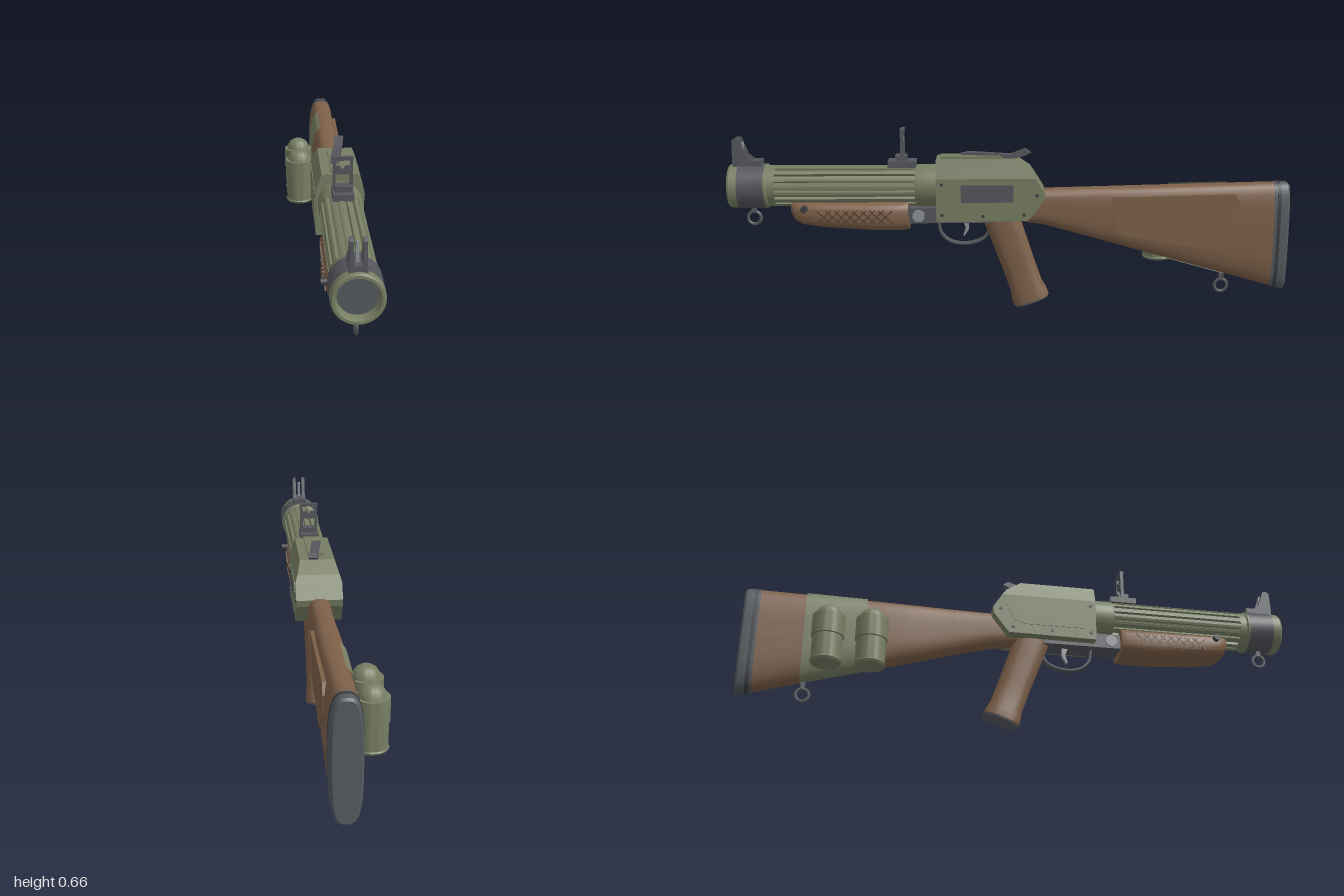
import * as THREE from 'three';
import { toCreasedNormals } from 'three/addons/utils/BufferGeometryUtils.js';

const material = (name, color, side = THREE.FrontSide) => {
  const m = new THREE.MeshStandardMaterial({ color, side });
  m.name = name;
  return m;
};

export function createModel() {
  const green = material('olive green', 0x777e63, THREE.DoubleSide);
  const wood = material('brown wood', 0x7d6049);
  const darkWood = material('dark wood', 0x553f2e);
  const metal = material('gunmetal', 0x54565b);
  const dark = material('dark steel', 0x3c3e42);
  const rubber = material('butt grey', 0x565b5f);
  const silver = material('silver', 0x8f9296);

  const model = new THREE.Group();
  const gun = new THREE.Group();
  gun.name = 'launcher';
  gun.position.x = 0.0375;
  model.add(gun);

  const add = (name, geometry, mat, x = 0, y = 0, z = 0) => {
    const mesh = new THREE.Mesh(geometry, mat);
    mesh.name = name;
    mesh.position.set(x, y, z);
    gun.add(mesh);
    return mesh;
  };
  const box = (name, mat, w, h, d, x, y, z) => add(name, new THREE.BoxGeometry(w, h, d), mat, x, y, z);

  // Side outline given as [z, y] points, spanning x0 to x1
  const sideGeometry = (points, x0, x1) => {
    const shape = new THREE.Shape(points.map(p => new THREE.Vector2(...p)));
    return new THREE.ExtrudeGeometry(shape, { depth: x1 - x0, bevelEnabled: false })
      .rotateY(-Math.PI / 2).translate(x1, 0, 0);
  };
  // Turned part; profile is [radius, position along axis]
  const turned = (profile, segments = 40) => toCreasedNormals(
    new THREE.LatheGeometry(profile.map(p => new THREE.Vector2(...p)), segments), 0.5);
  const turnedZ = (name, mat, profile, y = 0.4625) =>
    add(name, turned(profile).rotateX(Math.PI / 2), mat, 0, y, 0);
  const crossPin = (name, mat, r, half, y, z) =>
    add(name, new THREE.CylinderGeometry(r, r, half * 2, 20).rotateZ(Math.PI / 2), mat, 0, y, z);

  // Rounded-rectangle loft; rings are [y, z, halfWidth, halfHeight], v is the [y, z] height direction
  const loft = (rings, n = 3, v = [1, 0], t0 = 0, t1 = Math.PI * 2) => {
    const seg = 40, pos = [], index = [];
    const soft = c => Math.sign(c) * Math.pow(Math.abs(c), 2 / n);
    for (const [y, z, hw, hv] of rings) for (let j = 0; j <= seg; j++) {
      const t = t0 + (t1 - t0) * j / seg, s = hv * soft(Math.sin(t));
      pos.push(hw * soft(Math.cos(t)), y + v[0] * s, z + v[1] * s);
    }
    const row = seg + 1, last = (rings.length - 1) * row;
    for (let i = 0; i < rings.length - 1; i++) for (let j = 0; j < seg; j++) {
      const a = i * row + j;
      index.push(a, a + 1, a + row, a + 1, a + row + 1, a + row);
    }
    if (t1 - t0 > 6) for (let j = 1; j < seg - 1; j++) {
      index.push(0, j + 1, j, last, last + j, last + j + 1);
    }
    const g = new THREE.BufferGeometry();
    g.setAttribute('position', new THREE.Float32BufferAttribute(pos, 3));
    g.setIndex(index);
    return toCreasedNormals(g, 0.6);
  };

  // Fluted barrel
  const flutes = 16, barrel = new THREE.Shape();
  for (let i = 0; i < flutes; i++) {
    [[0, 0.072], [0.31, 0.073], [0.62, 0.072], [0.7, 0.062], [0.92, 0.062]].forEach(([f, r], k) => {
      const a = (i + f) / flutes * Math.PI * 2;
      barrel[i + k ? 'lineTo' : 'moveTo'](r * Math.cos(a), r * Math.sin(a));
    });
  }
  add('flutedBarrel', new THREE.ExtrudeGeometry(barrel, { depth: 0.52, bevelEnabled: false }), green, 0, 0.4625, 0.33);
  turnedZ('rearCollar', green, [[0, 0.25], [0.075, 0.25], [0.075, 0.33], [0.072, 0.34], [0, 0.34]]);
  turnedZ('muzzleRing', green, [[0, 0.835], [0.073, 0.835], [0.073, 0.86], [0.0785, 0.865], [0.0785, 0.993],
    [0.074, 1], [0.066, 1], [0.06, 0.985], [0.058, 0.96]]);
  turnedZ('muzzleBand', metal, [[0.076, 0.872], [0.0795, 0.872], [0.0795, 0.965], [0.076, 0.965]]);
  turnedZ('muzzlePlug', rubber, [[0.06, 0.97], [0, 0.97]]);

  // Front sight with two ears
  box('frontSightBase', metal, 0.054, 0.025, 0.1, 0, 0.545, 0.933);
  for (const s of [-1, 1]) {
    add('frontSightEar', sideGeometry([[0.905, 0.55], [0.985, 0.55], [0.983, 0.63], [0.972, 0.637], [0.958, 0.635], [0.935, 0.575]],
      s * 0.019 - 0.006, s * 0.019 + 0.006), metal);
  }
  box('frontSightPost', silver, 0.009, 0.07, 0.008, 0, 0.585, 0.95);

  // Raised ladder rear sight
  box('rearSightBase', metal, 0.07, 0.022, 0.1, 0, 0.543, 0.387);
  box('rearSightHinge', metal, 0.056, 0.025, 0.04, 0, 0.56, 0.39);
  for (const s of [-1, 1]) box('rearSightUpright', metal, 0.01, 0.11, 0.012, s * 0.028, 0.61, 0.385);
  box('rearSightTop', metal, 0.068, 0.012, 0.014, 0, 0.661, 0.385);
  const notch = new THREE.Shape([[-0.03, 0.608], [0.03, 0.608], [0.03, 0.636], [0.01, 0.636], [0, 0.622], [-0.01, 0.636], [-0.03, 0.636]]
    .map(p => new THREE.Vector2(...p)));
  add('rearSightNotch', new THREE.ExtrudeGeometry(notch, { depth: 0.01, bevelEnabled: false }), metal, 0, 0, 0.38);

  // Receiver: straight lower body and tapered roof
  add('receiverBody', sideGeometry([[0.265, 0.345], [0.265, 0.5], [-0.085, 0.5], [-0.12, 0.445], [-0.115, 0.42],
    [-0.06, 0.348]], -0.0825, 0.0825), green);
  const roof = sideGeometry([[0.265, 0.5], [0.265, 0.5625], [-0.015, 0.5625], [-0.07, 0.523], [-0.085, 0.5]], -0.0825, 0.0825);
  const rp = roof.attributes.position;
  for (let i = 0; i < rp.count; i++) rp.setX(i, rp.getX(i) * (1 - 4 * (rp.getY(i) - 0.5)));
  roof.computeVertexNormals();
  add('receiverRoof', roof, green);
  const panel = [[0.22, 0.385], [0.22, 0.47], [0.19, 0.492], [-0.05, 0.492], [-0.07, 0.46], [-0.04, 0.4], [0, 0.385]];
  for (const s of [-1, 1]) {
    add('sidePanel', sideGeometry(panel, s * 0.083 - 0.002, s * 0.083 + 0.002), green);
    for (const [z, y] of [[0.245, 0.37], [0.245, 0.48], [0.1, 0.366], [-0.045, 0.37], [-0.09, 0.44]]) {
      add('rivet', new THREE.CylinderGeometry(0.006, 0.006, 0.004, 10).rotateZ(Math.PI / 2), dark, s * 0.0835, y, z);
    }
  }
  box('ejectionPort', metal, 0.006, 0.062, 0.185, 0.083, 0.447, 0.085);
  box('roofRail', green, 0.06, 0.012, 0.22, 0, 0.566, 0.14);

  // Top lever, slanting across the roof
  const lever = sideGeometry([[0.18, 0.565], [0.18, 0.575], [0.15, 0.582], [0, 0.576], [-0.05, 0.597], [-0.07, 0.585],
    [-0.045, 0.572], [-0.01, 0.562]], -0.016, 0.016);
  const lp = lever.attributes.position;
  for (let i = 0; i < lp.count; i++) lp.setX(i, lp.getX(i) + (0.08 - lp.getZ(i)) * 0.13);
  add('topLever', lever, metal);

  // Lower frame, hinge, trigger and guard
  box('lowerFrame', metal, 0.09, 0.055, 0.29, 0, 0.36, 0.22);
  crossPin('hingePin', silver, 0.022, 0.052, 0.36, 0.33);
  add('trigger', sideGeometry([[0.175, 0.34], [0.15, 0.34], [0.152, 0.3], [0.168, 0.275], [0.172, 0.278], [0.163, 0.305]], -0.008, 0.008), silver);
  const guard = new THREE.CatmullRomCurve3([[0.262, 0.345], [0.25, 0.285], [0.21, 0.253], [0.14, 0.25], [0.09, 0.275], [0.07, 0.335]]
    .map(([z, y]) => new THREE.Vector3(0, y, z)));
  add('triggerGuard', new THREE.TubeGeometry(guard, 30, 0.006, 8), metal).scale.x = 2.7;

  // Wooden fore-end with diamond checkering
  add('foreEnd', loft([[0.362, 0.365, 0.068, 0.055], [0.36, 0.385, 0.075, 0.056], [0.36, 0.5, 0.076, 0.055], [0.366, 0.66, 0.075, 0.05],
    [0.372, 0.74, 0.07, 0.045], [0.38, 0.77, 0.06, 0.036], [0.39, 0.782, 0.045, 0.022]]), wood);
  for (const s of [-1, 1]) for (let i = 0; i < 8; i++) for (const tilt of [-1, 1]) {
    const line = box('checkering', darkWood, 0.005, 0.004, 0.068, s * 0.0735, 0.362, 0.445 + i * 0.031);
    line.rotation.x = tilt * 0.75;
  }
  crossPin('foreEndBolt', dark, 0.012, 0.09, 0.392, 0.73);

  // Pistol grip with flared foot
  const tilt = [-0.334, 0.943];
  add('grip', loft([[0.37, 0.044, 0.046, 0.064], [0.3, 0.019, 0.046, 0.063], [0.18, -0.024, 0.043, 0.06], [0.085, -0.057, 0.043, 0.06],
    [0.06, -0.066, 0.047, 0.066], [0.035, -0.075, 0.047, 0.067]], 2.7, tilt), wood);
  add('gripCap', loft([[0.036, -0.0746, 0.045, 0.065], [0.029, -0.077, 0.043, 0.063]], 2.7, tilt), rubber);

  // Shoulder stock, cheek plate and butt
  const stockRing = (z, grow = 0) => {
    const k = Math.max(0, (-z - 0.06) / 0.885);
    const top = 0.448 + 0.022 * k, bottom = 0.335 - 0.25 * k;
    const width = 0.041 + 0.009 * THREE.MathUtils.smoothstep(-z, 0.25, 0.5);
    return [(top + bottom) / 2, z, width + grow, (top - bottom) / 2 + grow];
  };
  add('stock', loft([-0.95, -0.7, -0.5, -0.42, -0.35, -0.25, -0.12, 0].map(z => stockRing(z)), 3.2), wood);
  add('cheekPlate', sideGeometry([[-0.36, 0.425], [-0.8, 0.435], [-0.82, 0.4], [-0.8, 0.33], [-0.69, 0.235], [-0.38, 0.29]], 0.03, 0.053), wood);
  add('buttPlate', loft([stockRing(-1, -0.008), stockRing(-0.993, -0.001), stockRing(-0.972, 0.001), stockRing(-0.944, 0.001)], 3.2), rubber);
  add('buttSeam', loft([stockRing(-0.966, 0.003), stockRing(-0.954, 0.003)], 3.2), dark);

  // Wrap on the left flank carrying two spare rounds
  add('stockWrap', loft([-0.785, -0.68, -0.57].map(z => stockRing(z, 0.005)), 3.2, [1, 0], Math.PI * 0.58, Math.PI * 1.5), green);
  for (const z of [-0.7, -0.55]) {
    add('spareRound', turned([[0, 0.16], [0.05, 0.16], [0.055, 0.168], [0.052, 0.172], [0.052, 0.258], [0.0565, 0.26], [0.0565, 0.338],
      [0.046, 0.339], [0.043, 0.353], [0.034, 0.367], [0.02, 0.376], [0, 0.379]]), green, -0.11, 0, z);
    box('roundClip', green, 0.02, 0.06, 0.04, -0.055, 0.3, z < -0.6 ? z : z - 0.03);
  }

  // Sling rings
  for (const [y, z] of [[0.345, 0.922], [0.083, -0.772]]) {
    add('slingRing', new THREE.TorusGeometry(0.023, 0.006, 8, 24).rotateY(Math.PI / 2), metal, 0, y, z);
    box('slingMount', metal, 0.014, 0.025, 0.016, 0, y + 0.033, z);
  }
  return model;
}
